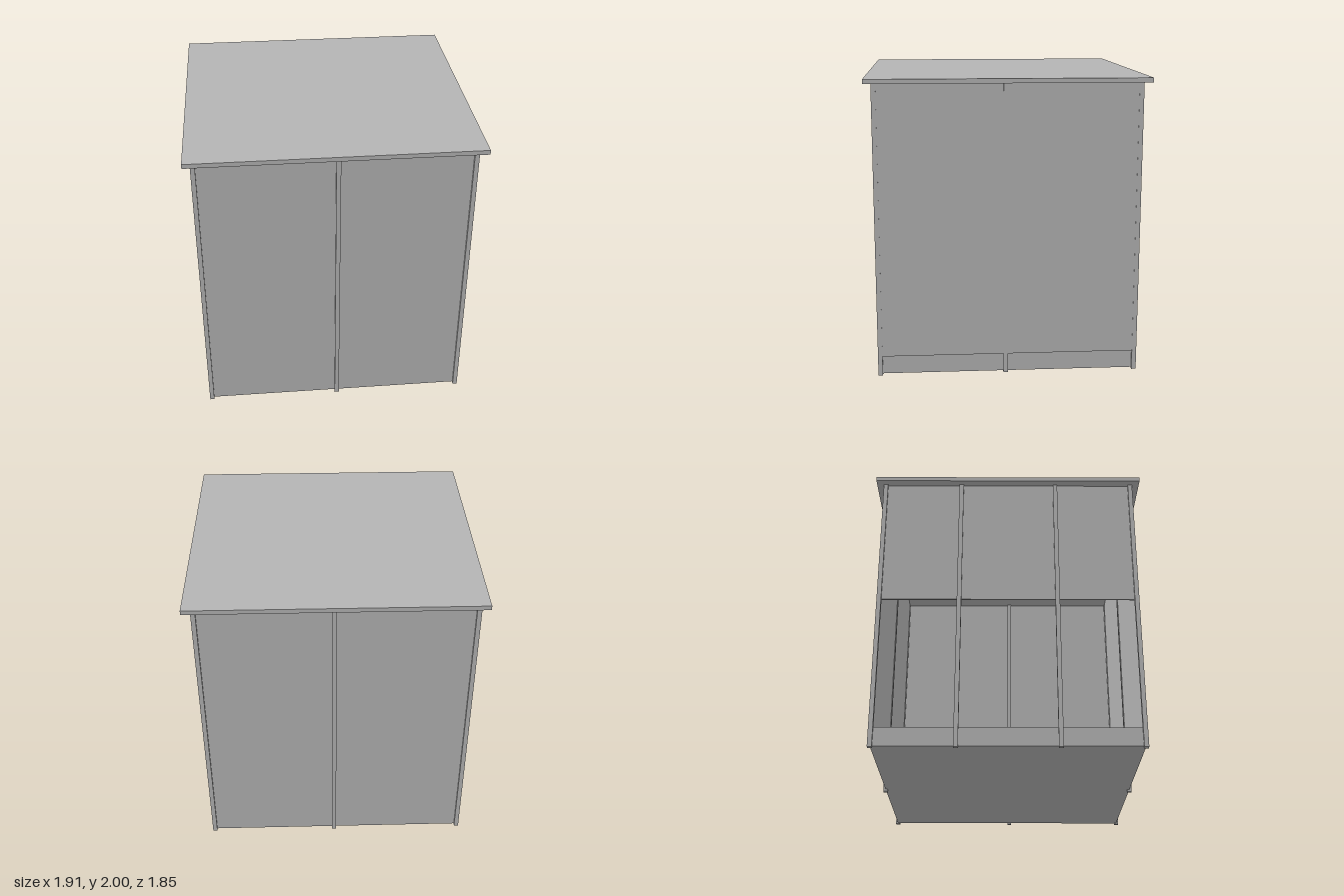
import * as THREE from 'three';

export function createModel() {
  const model = new THREE.Group();
  model.name = 'shelter';
  const grey = new THREE.MeshStandardMaterial({ color: 0xb4b4b4 });
  grey.name = 'plain grey';

  // Box given by its lower and upper corners
  const box = (name, [x0, y0, z0], [x1, y1, z1]) => {
    const mesh = new THREE.Mesh(new THREE.BoxGeometry(x1 - x0, y1 - y0, z1 - z0), grey);
    mesh.position.set((x0 + x1) / 2, (y0 + y1) / 2, (z0 + z1) / 2);
    mesh.name = name;
    model.add(mesh);
  };

  const left = 0.9, right = -0.91, front = 0.875, back = -0.88; // outer faces of the frame
  const post = 0.03, board = 0.01, inset = 0.015;
  const floorY = 0.14, midY = 1.055, eaveY = 1.97;

  box('roof', [-0.957, eaveY, -0.928], [0.953, 2, 0.923]);
  box('floorSlab', [right + inset, 0.015, back + inset], [left - inset, floorY, front - inset]);

  // Corner posts
  for (const x of [right, left - post])
    for (const z of [back, front - post])
      box('cornerPost', [x, 0.006, z], [x + post, eaveY, z + post]);

  // Middle posts: one on the front, back and closed side, two on the open side
  for (const z of [back, front - post]) box('middlePost', [-0.005, 0, z], [0.025, eaveY, z + post]);
  box('middlePost', [left - post, 0.006, 0], [left, eaveY, post]);
  for (const z of [-0.33, 0.33])
    box('openSidePost', [right, 0.006, z - post / 2], [right + post, eaveY, z + post / 2]);

  // Front and back walls, each of a lower and an upper board
  for (const [y0, y1] of [[floorY, midY], [midY, eaveY]]) {
    box('frontBoard', [right + inset, y0, front - inset - board], [left - inset, y1, front - inset]);
    box('backBoard', [right + inset, y0, back + inset], [left - inset, y1, back + inset + board]);
  }

  // Closed side in two full-height bays, nearly flush with the posts
  for (const [z0, z1] of [[back + post, 0], [post, front - post]])
    box('closedSideBoard', [left - 0.002 - board, floorY, z0], [left - 0.002, eaveY, z1]);

  // Open side has only an upper board
  box('openSideUpperBoard', [right + inset, midY, back + inset], [right + inset + board, eaveY, front - inset]);

  return model;
}
